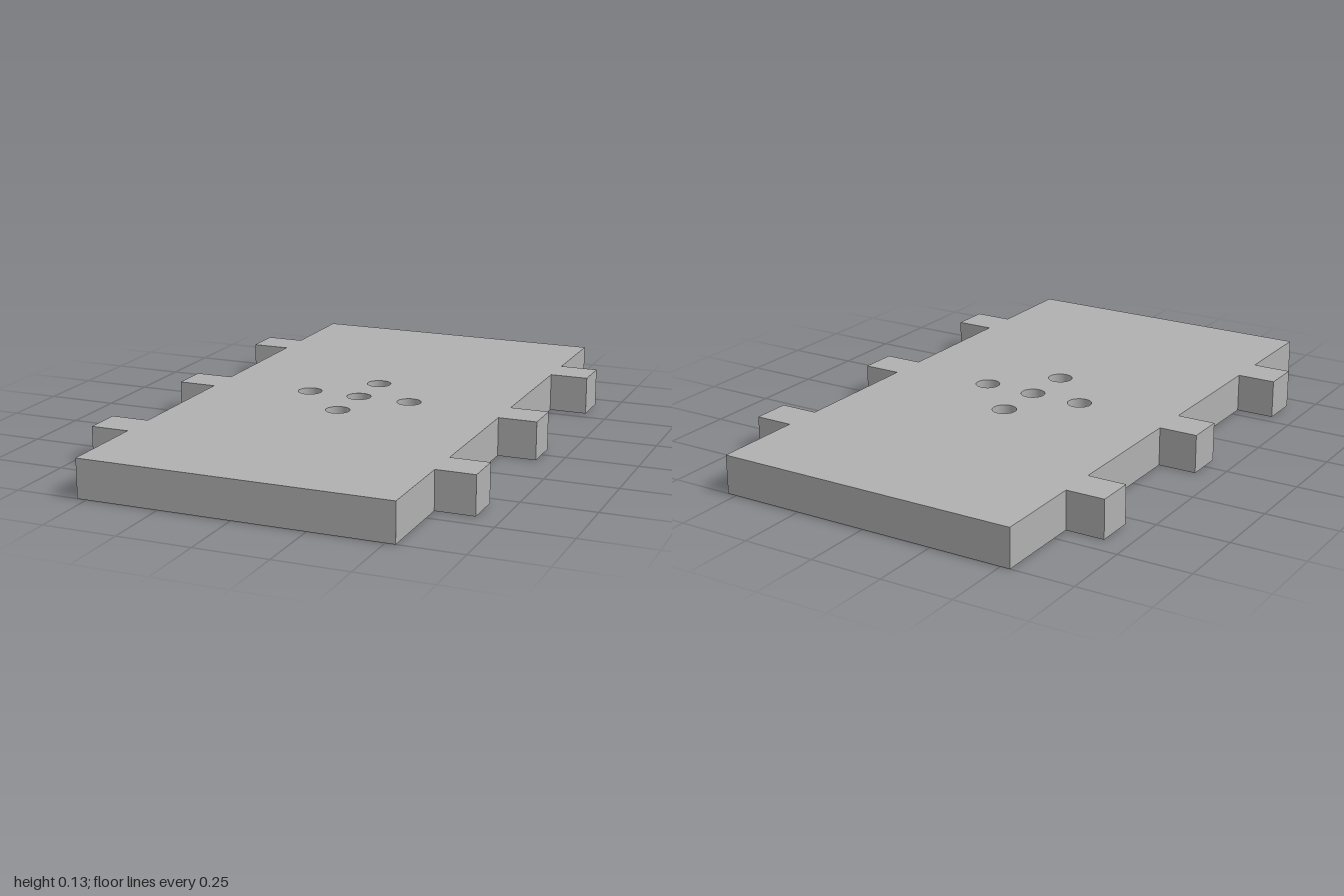
import * as THREE from 'three';

const HALF_WIDTH = 0.533, HALF_LENGTH = 1, THICKNESS = 0.133;
const TAB_REACH = 0.667, TAB_HALF = 0.067, TAB_CENTRES = [-0.613, 0, 0.613];
const HOLE_RADIUS = 0.042, HOLE_OFFSET = 0.187;

export function createModel() {
  const plateGrey = new THREE.MeshStandardMaterial({ color: 0xb0b0b0 });
  plateGrey.name = 'plateGrey';

  // One long edge with its three tabs, from -y to +y
  const edge = [[HALF_WIDTH, -HALF_LENGTH]];
  for (const c of TAB_CENTRES) {
    edge.push(
      [HALF_WIDTH, c - TAB_HALF], [TAB_REACH, c - TAB_HALF],
      [TAB_REACH, c + TAB_HALF], [HALF_WIDTH, c + TAB_HALF]
    );
  }
  edge.push([HALF_WIDTH, HALF_LENGTH]);

  // Half-turn of the same edge closes the outline
  const outline = [...edge, ...edge.map(([x, y]) => [-x, -y])];
  const shape = new THREE.Shape(outline.map(([x, y]) => new THREE.Vector2(x, y)));

  // Cross of five round through-holes
  const d = HOLE_OFFSET;
  for (const [x, y] of [[0, 0], [d, 0], [-d, 0], [0, d], [0, -d]]) {
    shape.holes.push(new THREE.Path().absarc(x, y, HOLE_RADIUS, 0, Math.PI * 2, true));
  }

  // Lay the extruded plate flat on the ground
  const geometry = new THREE.ExtrudeGeometry(shape, {
    depth: THICKNESS, bevelEnabled: false, curveSegments: 32
  });
  geometry.rotateX(-Math.PI / 2);

  const plate = new THREE.Mesh(geometry, plateGrey);
  plate.name = 'tabbedPlate';
  const model = new THREE.Group();
  model.name = 'perforatedPlate';
  model.add(plate);
  return model;
}
